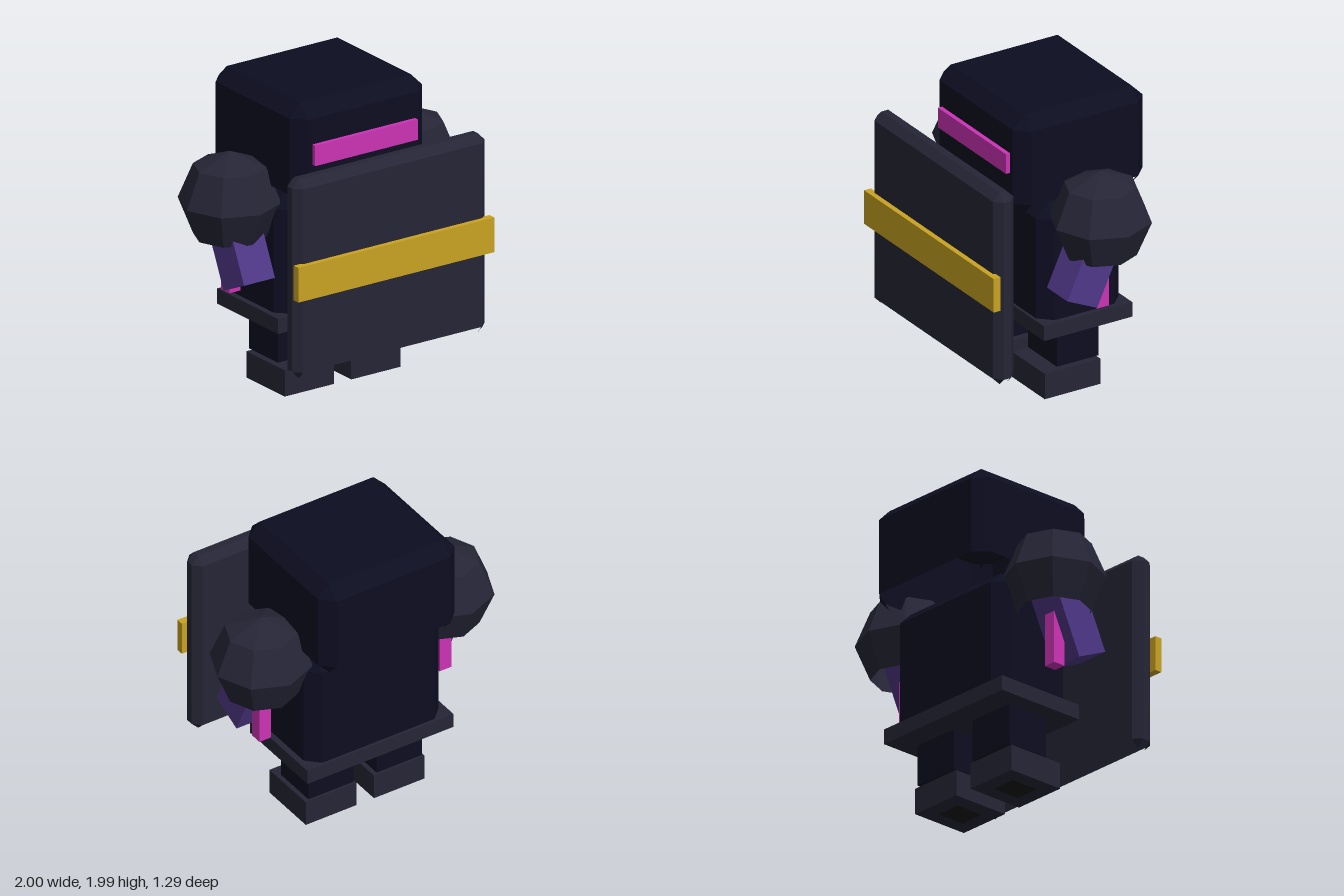
import * as THREE from 'three';

const mat = (name, color) => {
  const m = new THREE.MeshStandardMaterial({ color, side: THREE.DoubleSide, flatShading: true });
  m.name = name;
  return m;
};

// Box shell with chamfered edges and an open underside; only small corner tabs reach the bottom.
function chamferShell(x, y0, y1, z, c) {
  const ring = [], inset = [];
  [[1, 1], [1, -1], [-1, -1], [-1, 1]].forEach(([sx, sz], i) => {
    const onZ = [sx * (x - c), sz * z], onX = [sx * x, sz * (z - c)];
    ring.push(...(i % 2 ? [onX, onZ] : [onZ, onX]));
    const corner = [sx * (x - c), sz * (z - c)];
    inset.push(corner, corner);
  });
  const pos = [];
  const tri = (...pts) => pts.forEach((p) => pos.push(...p));
  const at = (r, k, y) => [r[k % 8][0], y, r[k % 8][1]];
  for (let k = 0; k < 8; k++) {
    const a = at(ring, k, y0 + c), b = at(ring, k + 1, y0 + c);
    const d = at(ring, k + 1, y1 - c), e = at(ring, k, y1 - c);
    const f = at(inset, k + 1, y1), g = at(inset, k, y1);
    tri(a, b, d, a, d, e); // wall
    tri(e, d, f); // top chamfer
    if (k % 2) tri(e, f, g);
    else tri(a, at(inset, k, y0), b); // corner tab
  }
  const [p, q, r, s] = [0, 2, 4, 6].map((k) => at(inset, k, y1));
  tri(p, q, r, p, r, s); // top
  const geo = new THREE.BufferGeometry();
  geo.setAttribute('position', new THREE.Float32BufferAttribute(pos, 3));
  geo.computeVertexNormals();
  return geo;
}

export function createModel() {
  const group = new THREE.Group();
  const navy = mat('darkNavy', 0x0d0d21);
  const slate = mat('slate', 0x252536);
  const gold = mat('gold', 0xcaa322);
  const pink = mat('pink', 0xcc33b5);
  const purple = mat('purple', 0x4f3888);
  const black = mat('soleBlack', 0x161616);

  const add = (name, geo, material, x = 0, y = 0, z = 0) => {
    const mesh = new THREE.Mesh(geo, material);
    mesh.name = name;
    mesh.position.set(x, y, z);
    group.add(mesh);
    return mesh;
  };
  // Box given by its limits on each axis
  const box = (name, material, [x0, x1], [y0, y1], [z0, z1]) =>
    add(name, new THREE.BoxGeometry(x1 - x0, y1 - y0, z1 - z0), material,
      (x0 + x1) / 2, (y0 + y1) / 2, (z0 + z1) / 2);

  // Head, body and hips
  add('head', chamferShell(0.505, 1.31, 1.985, 0.475, 0.085), navy, 0, 0, -0.17);
  box('visor', pink, [-0.39, 0.39], [1.595, 1.73], [0.29, 0.335]);
  add('torso', chamferShell(0.5, 0.45, 1.33, 0.303, 0.085), navy, 0, 0, -0.172);
  box('hipPlate', slate, [-0.54, 0.54], [0.46, 0.56], [-0.495, 0.15]);

  // Shield held in front
  add('shield', chamferShell(0.73, 0.33, 1.645, 0.075, 0.05), slate, 0, 0, 0.54);
  box('shieldBand', gold, [-0.745, 0.745], [0.87, 1.1], [0.6, 0.65]);

  for (const [side, s] of [['left', 1], ['right', -1]]) {
    const span = (a, b) => (s > 0 ? [a, b] : [-b, -a]);

    // Shoulder dome, forearm and hand-held rod
    add(side + 'Shoulder', new THREE.SphereGeometry(0.325, 8, 3, 0, Math.PI * 2, 0, Math.PI * 0.75),
      slate, s * 0.673, 1.275, -0.178);
    const arm = add(side + 'Forearm', new THREE.BoxGeometry(0.235, 0.5, 0.24), purple,
      s * 0.673, 1.009, -0.074);
    arm.rotation.x = -0.43;
    box(side + 'Rod', pink, span(0.625, 0.71), [0.68, 1.08], [-0.215, -0.13]);

    // Leg and boot
    box(side + 'Leg', navy, span(0.085, 0.42), [0.19, 0.5], [-0.325, -0.02]);
    box(side + 'Boot', slate, span(0.065, 0.44), [0.002, 0.175], [-0.325, 0.082]);
    box(side + 'Sole', black, span(0.165, 0.34), [0, 0.006], [-0.22, -0.02]);
  }
  return group;
}
